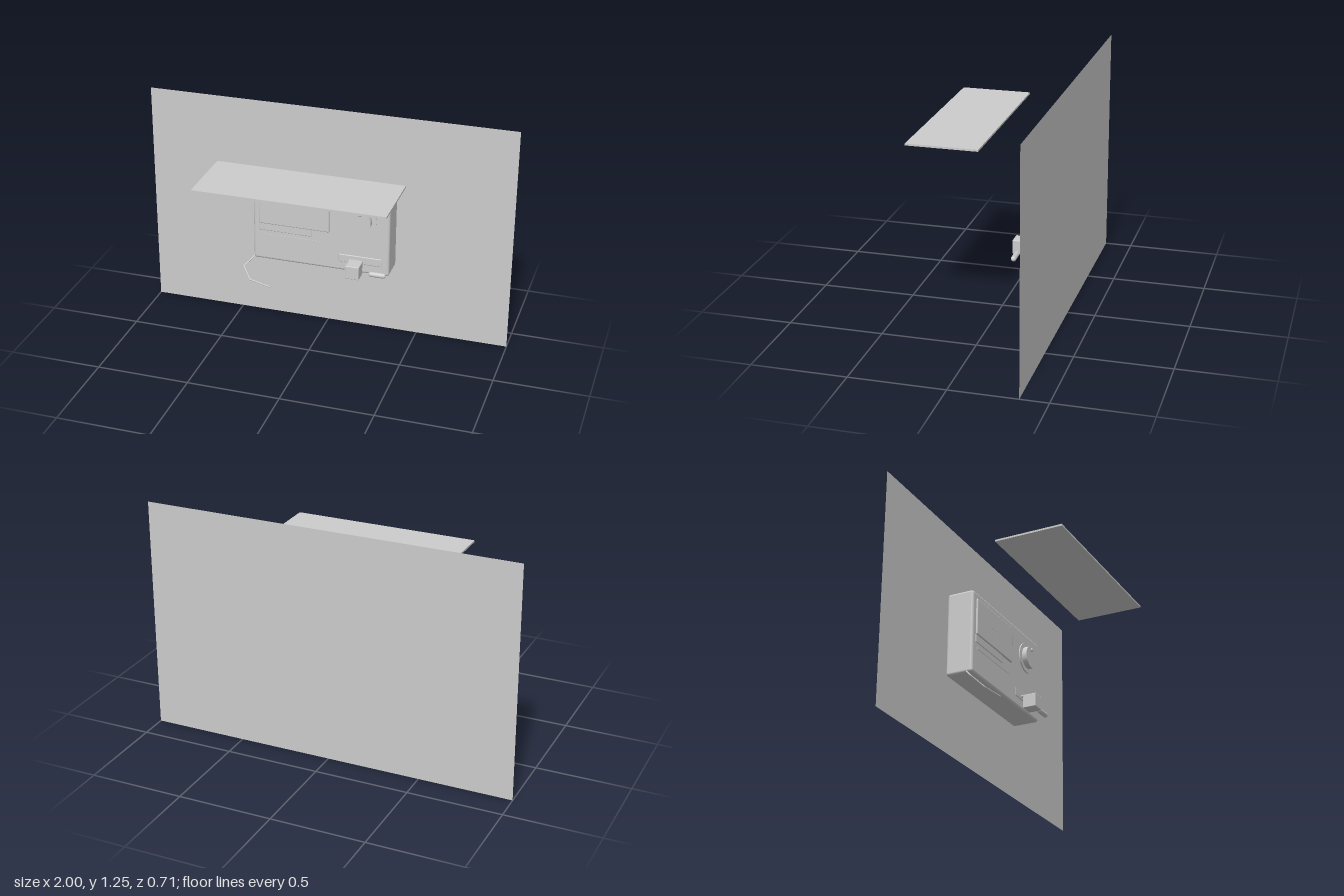
import * as THREE from 'three';
import { RoundedBoxGeometry } from 'three/addons/geometries/RoundedBoxGeometry.js';

const material = new THREE.MeshStandardMaterial({ color: 0xcccccc });
const thin = new THREE.MeshStandardMaterial({ color: 0xcccccc, side: THREE.DoubleSide });

export function createModel() {
  const model = new THREE.Group();

  const add = (name, geometry, x, y, z, mat = material) => {
    const mesh = new THREE.Mesh(geometry, mat);
    mesh.name = name;
    mesh.position.set(x, y, z);
    model.add(mesh);
    return mesh;
  };
  // Box given by its limits on each axis, optionally rounded
  const block = (name, [x0, x1], [y0, y1], [z0, z1], radius = 0) => {
    const size = [x1 - x0, y1 - y0, z1 - z0];
    const geometry = radius ? new RoundedBoxGeometry(...size, 4, radius) : new THREE.BoxGeometry(...size);
    return add(name, geometry, (x0 + x1) / 2, (y0 + y1) / 2, (z0 + z1) / 2);
  };
  // Disc or knob facing forward
  const disc = (name, r, x, y, z0, z1) => {
    const geometry = new THREE.CylinderGeometry(r, r, z1 - z0, 48).rotateX(Math.PI / 2);
    return add(name, geometry, x, y, (z0 + z1) / 2);
  };

  // Wall sheet behind and glass canopy in front
  add('wall', new THREE.PlaneGeometry(2, 1.25), 0, 0.625, -0.354, thin);
  block('canopy', [-0.5, 0.5], [1.023, 1.033], [-0.016, 0.354]);

  // Main housing
  block('housing', [-0.376, 0.376], [0.4, 0.856], [-0.352, -0.203], 0.014);

  // Raised front panel with its lower tab, centre line and slot
  block('frontPanel', [-0.342, 0.048], [0.616, 0.817], [-0.215, -0.194], 0.006);
  block('panelTab', [-0.342, -0.048], [0.574, 0.62], [-0.215, -0.2], 0.004);
  block('panelLine', [-0.22, -0.08], [0.715, 0.718], [-0.2, -0.1935]);
  block('slot', [-0.322, 0.028], [0.542, 0.554], [-0.21, -0.2005]);

  // Dial: back plate, knob and pointer
  disc('dialPlate', 0.083, 0.222, 0.714, -0.215, -0.196);
  disc('dialKnob', 0.06, 0.222, 0.714, -0.2, -0.169);
  add('dialPointer', new THREE.SphereGeometry(0.01, 20, 14), 0.222, 0.757, -0.17);

  // Lower tray, bracket, hanging block and pill
  block('tray', [0.1, 0.337], [0.452, 0.498], [-0.212, -0.2], 0.005);
  block('bracket', [0.16, 0.235], [0.467, 0.475], [-0.205, -0.185]);
  block('hangingBlock', [0.161, 0.236], [0.401, 0.476], [-0.19, -0.116], 0.004);
  const pill = new THREE.CapsuleGeometry(0.0138, 0.066, 8, 20).rotateZ(Math.PI / 2);
  add('pill', pill, 0.326, 0.429, -0.155);

  // Bent cord at the lower right corner
  const points = [
    [-0.372, 0.405, -0.235], [-0.427, 0.35, -0.18], [-0.375, 0.3, -0.13], [-0.255, 0.289, -0.104],
  ].map((p) => new THREE.Vector3(...p));
  const up = new THREE.Vector3(0, 1, 0);
  for (let i = 0; i < points.length - 1; i++) {
    const a = points[i], b = points[i + 1];
    const mid = a.clone().lerp(b, 0.5);
    const rod = add('cordSegment', new THREE.CylinderGeometry(0.004, 0.004, a.distanceTo(b), 12), mid.x, mid.y, mid.z);
    rod.quaternion.setFromUnitVectors(up, b.clone().sub(a).normalize());
    add('cordJoint', new THREE.SphereGeometry(0.004, 12, 8), b.x, b.y, b.z);
  }

  return model;
}
